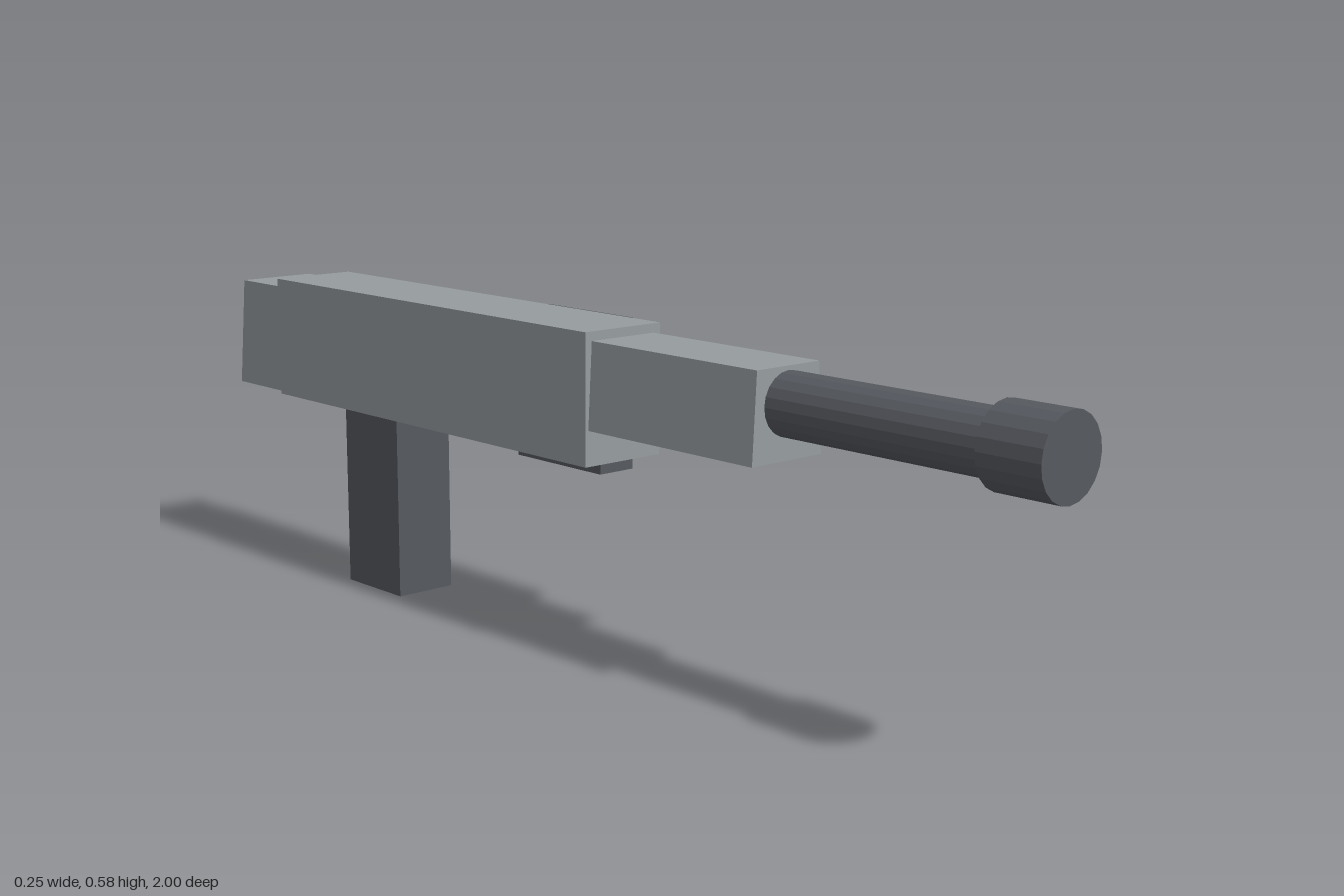
import * as THREE from 'three';

const material = (name, color) => {
  const m = new THREE.MeshStandardMaterial({ color });
  m.name = name;
  return m;
};

export function createModel() {
  const group = new THREE.Group();
  const grey = material('body grey', 0x969c9f);
  const dark = material('dark grey', 0x56595f);
  const blue = material('light blue', 0x67b5ca);
  dark.flatShading = true;

  const add = (name, geometry, mat) => {
    const mesh = new THREE.Mesh(geometry, mat);
    mesh.name = name;
    group.add(mesh);
  };

  // Box given by its limits, with an optional rule that moves its corners
  const box = (name, mat, [x0, x1], [y0, y1], [z0, z1], move) => {
    const g = new THREE.BoxGeometry(x1 - x0, y1 - y0, z1 - z0);
    g.translate((x0 + x1) / 2, (y0 + y1) / 2, (z0 + z1) / 2);
    if (move) {
      const p = g.attributes.position;
      const v = new THREE.Vector3();
      const middle = new THREE.Vector3((x0 + x1) / 2, (y0 + y1) / 2, (z0 + z1) / 2);
      for (let i = 0; i < p.count; i++) {
        v.fromBufferAttribute(p, i);
        move(v, middle);
        p.setXYZ(i, v.x, v.y, v.z);
      }
      g.computeVertexNormals();
    }
    add(name, g, mat);
  };

  // Cylinder lying along z
  const tube = (name, radius, z0, z1) => {
    const g = new THREE.CylinderGeometry(radius, radius, z1 - z0, 20);
    g.rotateX(Math.PI / 2).translate(-0.039, 0.501, (z0 + z1) / 2);
    add(name, g, dark);
  };

  // Main body
  box('receiver', grey, [-0.123, 0.045], [0.348, 0.577], [-0.845, 0.078]);

  // Fore-end, narrower at the top
  box('foreEnd', grey, [-0.117, 0.038], [0.41, 0.561], [0.07, 0.462], (v, c) => {
    if (v.y > c.y) v.x += v.x > c.x ? -0.008 : 0.008;
  });

  // Rear stock with a slanted end
  box('stock', grey, [-0.117, 0.038], [0.352, 0.561], [-1, -0.84], (v, c) => {
    if (v.y > c.y && v.z < c.z) v.z += 0.024;
  });

  // Barrel and muzzle
  tube('barrel', 0.053, 0.45, 0.89);
  tube('muzzle', 0.0685, 0.885, 1);

  // Grip, side magazine and side handle
  box('grip', dark, [-0.1, 0.022], [0, 0.355], [-0.655, -0.49]);
  box('magazine', dark, [0.044, 0.122], [0.286, 0.561], [-0.305, -0.075]);
  box('sideHandle', blue, [0.036, 0.084], [0.47, 0.53], [0.115, 0.27]);

  return group;
}
